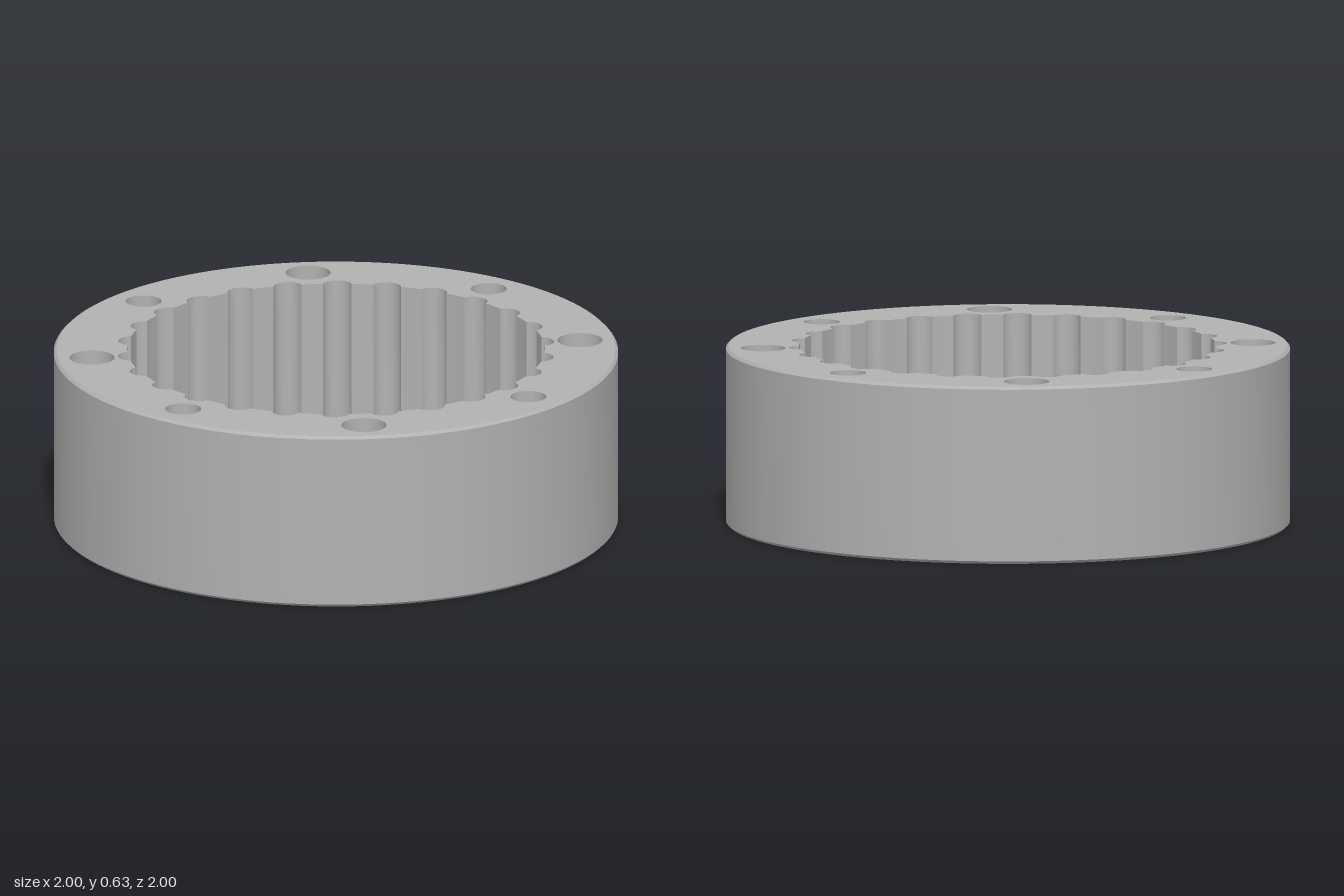
import * as THREE from 'three';
import { toCreasedNormals } from 'three/addons/utils/BufferGeometryUtils.js';

// Main dimensions
const TOP = 0.635, FLOOR = 0.14, SEAT = 0.065, CHAMFER = 0.01;
const WALL_R = 0.74, PIN_RING = 0.725, PIN_R = 0.052, PINS = 26;
const BOLT_RING = 0.87, BORE_R = 0.104, SEAT_R = 0.298;
const V = (x, y) => new THREE.Vector2(x, y);

// Points of a circle, counter-clockwise
function circle(r, n, cx = 0, cy = 0) {
  return Array.from({ length: n }, (_, i) => {
    const a = (i / n) * Math.PI * 2;
    return V(cx + r * Math.cos(a), cy + r * Math.sin(a));
  });
}

// Positions evenly spaced around a ring
function around(count, radius, start = 0) {
  return Array.from({ length: count }, (_, i) => {
    const a = start + (i / count) * Math.PI * 2;
    return V(radius * Math.cos(a), radius * Math.sin(a));
  });
}

// Cavity outline with a round bite at every pin, taking the outer or inner side of the pin circle
function scallopedRing(inner) {
  const alpha = Math.acos((WALL_R ** 2 + PIN_RING ** 2 - PIN_R ** 2) / (2 * WALL_R * PIN_RING));
  const beta = Math.atan2(WALL_R * Math.sin(alpha), WALL_R * Math.cos(alpha) - PIN_RING);
  const end = inner ? beta - Math.PI * 2 : beta;
  const step = (Math.PI * 2) / PINS, pts = [];
  for (let k = 0; k < PINS; k++) {
    const a = k * step;
    for (let i = 0; i <= 14; i++) {
      const t = a - beta + (end + beta) * (i / 14);
      pts.push(V(PIN_RING * Math.cos(a) + PIN_R * Math.cos(t), PIN_RING * Math.sin(a) + PIN_R * Math.sin(t)));
    }
    for (let i = 1; i < 4; i++) {
      const t = a + alpha + (step - 2 * alpha) * (i / 4);
      pts.push(V(WALL_R * Math.cos(t), WALL_R * Math.sin(t)));
    }
  }
  return pts;
}

// Flat horizontal face with holes, facing up or down
function plate(outline, holes, y, up) {
  const shape = new THREE.Shape(outline);
  shape.holes = holes.map((h) => new THREE.Path(h));
  return new THREE.ShapeGeometry(shape).rotateX(up ? -Math.PI / 2 : Math.PI / 2).translate(0, y, 0);
}

// Vertical wall along an outline, facing inward
function innerWall(outline, y0, y1) {
  const pos = [];
  outline.forEach((p, i) => {
    const q = outline[(i + 1) % outline.length];
    pos.push(p.x, y0, -p.y, p.x, y1, -p.y, q.x, y1, -q.y);
    pos.push(p.x, y0, -p.y, q.x, y1, -q.y, q.x, y0, -q.y);
  });
  const g = new THREE.BufferGeometry();
  g.setAttribute('position', new THREE.Float32BufferAttribute(pos, 3));
  return toCreasedNormals(g, 0.6);
}

// Turned surface with sharp steps; profiles running downward face inward
const turned = (profile, n) =>
  toCreasedNormals(new THREE.LatheGeometry(profile.map(([x, y]) => V(x, y)), n), 0.6);

export function createModel() {
  const group = new THREE.Group();
  const grey = new THREE.MeshStandardMaterial({ color: 0xb2b2b2 });
  grey.name = 'plainGrey';
  const add = (name, geometry, at = V(0, 0)) => {
    const mesh = new THREE.Mesh(geometry, grey);
    mesh.name = name;
    mesh.position.set(at.x, 0, -at.y);
    group.add(mesh);
  };

  const bolts = around(4, BOLT_RING);
  const blinds = around(4, BOLT_RING, Math.PI / 4);
  const holesAt = (spots, r) => spots.map((s) => circle(r, 40, s.x, s.y));
  const rim = circle(1 - CHAMFER, 128);
  const cavity = scallopedRing(false);

  // Outer shell with chamfered edges
  add('outerShell', turned([[1 - CHAMFER, 0], [1, CHAMFER], [1, TOP - CHAMFER], [1 - CHAMFER, TOP]], 128));

  // Top, floor and bottom faces
  add('topFace', plate(rim, [cavity, ...holesAt(bolts, 0.08), ...holesAt(blinds, 0.064)], TOP, true));
  add('cavityFloor', plate(scallopedRing(true), [circle(BORE_R, 64)], FLOOR, true));
  add('bottomFace', plate(rim, [circle(SEAT_R, 64), ...holesAt(bolts, 0.053)], 0, false));

  // Grooved cavity wall
  add('cavityWall', innerWall(cavity, FLOOR, TOP));

  // Central bore opening into the bearing seat underneath
  add('centreBore', turned([[BORE_R, FLOOR], [BORE_R, SEAT], [SEAT_R, SEAT], [SEAT_R, 0]], 64));

  // Pin pockets sunk into the floor
  const pocket = turned([[PIN_R, FLOOR], [PIN_R, 0.1], [0, 0.1]], 32);
  around(PINS, PIN_RING).forEach((p) => add('pinPocket', pocket, p));

  // Counterbored bolt holes and blind holes
  const boltHole = turned([[0.08, TOP], [0.08, TOP - 0.13], [0.053, TOP - 0.13], [0.053, 0]], 40);
  bolts.forEach((p) => add('boltHole', boltHole, p));
  const blindHole = turned([[0.064, TOP], [0.064, TOP - 0.25], [0, TOP - 0.25]], 40);
  blinds.forEach((p) => add('blindHole', blindHole, p));

  return group;
}
